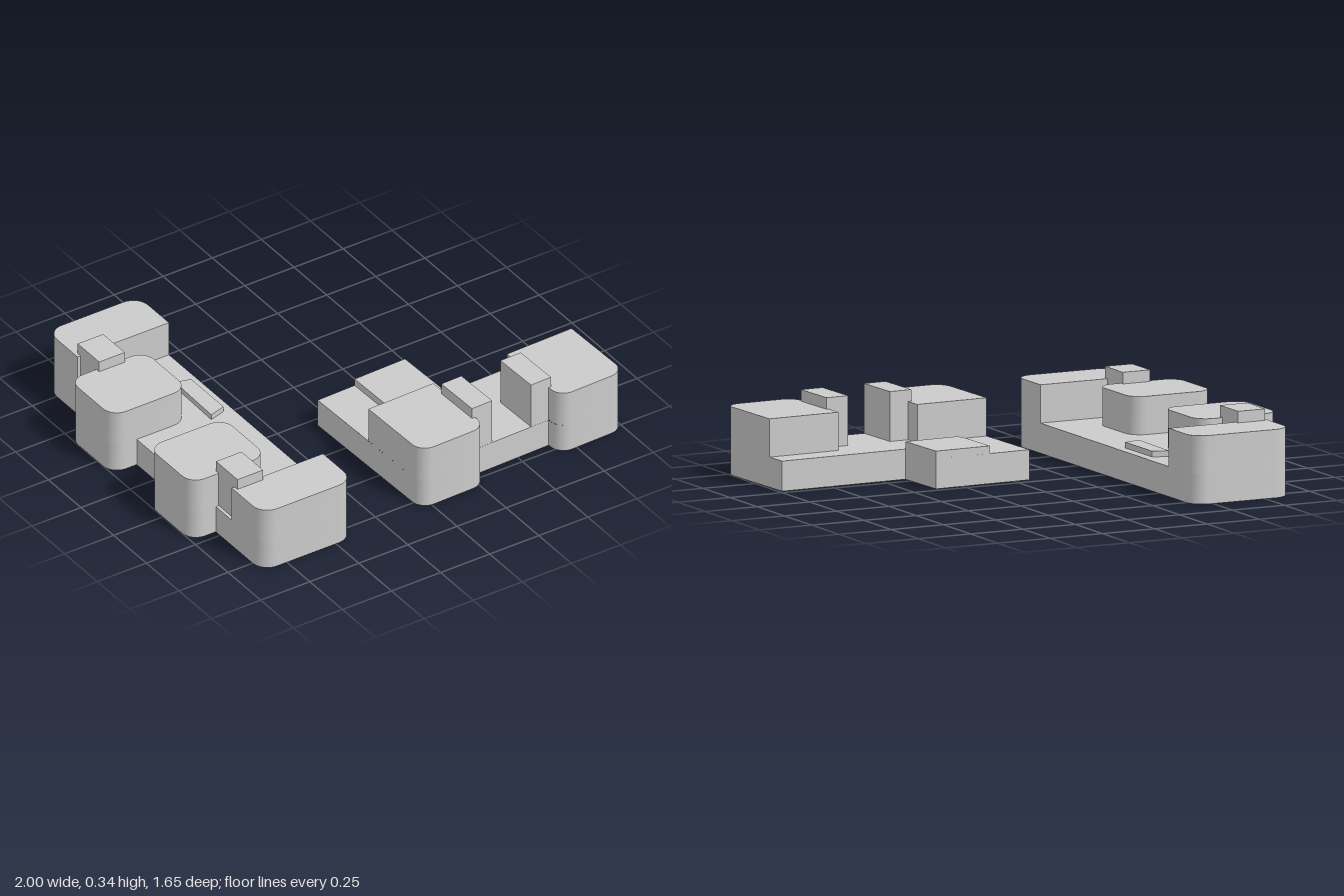
import * as THREE from 'three';
import { mergeGeometries, toCreasedNormals } from 'three/addons/utils/BufferGeometryUtils.js';

const LOW = 0.13, HIGH = 0.295, POST = 0.345;
const material = new THREE.MeshStandardMaterial({ color: 0xcccccc, side: THREE.DoubleSide });

// Turns corners [x, z, radius] into a plan outline with rounded corners
function outline(corners, closed = true) {
  const pts = [], n = corners.length;
  corners.forEach(([x, z, r = 0], i) => {
    const p = new THREE.Vector2(x, z);
    if (!r || (!closed && (i === 0 || i === n - 1))) { pts.push(p); return; }
    const toward = (c) => new THREE.Vector2(c[0], c[1]).sub(p).normalize();
    const a = toward(corners[(i + n - 1) % n]), b = toward(corners[(i + 1) % n]);
    const centre = p.clone().addScaledVector(a, r).addScaledVector(b, r);
    for (let k = 0; k <= 8; k++) {
      const t = (k / 8) * Math.PI / 2;
      pts.push(centre.clone().addScaledVector(b, -r * Math.cos(t)).addScaledVector(a, -r * Math.sin(t)));
    }
  });
  // counter-clockwise as seen from above, so walls face outward
  if (closed && THREE.ShapeUtils.area(pts) > 0) pts.reverse();
  return pts;
}

// Vertical wall strip along an outline
function wallGeometry(pts, y0, y1, closed = true) {
  const pos = [], count = closed ? pts.length : pts.length - 1;
  for (let i = 0; i < count; i++) {
    const a = pts[i], b = pts[(i + 1) % pts.length];
    pos.push(a.x, y0, a.y, b.x, y0, b.y, b.x, y1, b.y);
    pos.push(a.x, y0, a.y, b.x, y1, b.y, a.x, y1, a.y);
  }
  const g = new THREE.BufferGeometry();
  g.setAttribute('position', new THREE.Float32BufferAttribute(pos, 3));
  g.computeVertexNormals();
  return toCreasedNormals(g, 0.5);
}

// Flat roof filling an outline
function roofGeometry(pts, y) {
  const shape = new THREE.Shape(pts.map((p) => new THREE.Vector2(p.x, -p.y)));
  const g = new THREE.ShapeGeometry(shape).rotateX(-Math.PI / 2).translate(0, y, 0).toNonIndexed();
  g.deleteAttribute('uv');
  return g;
}

function add(group, name, geometry) {
  const mesh = new THREE.Mesh(geometry, material);
  mesh.name = name;
  group.add(mesh);
}
const addWall = (group, name, corners, y0, y1, closed = true) =>
  add(group, name, wallGeometry(outline(corners, closed), y0, y1, closed));
const addRoof = (group, name, corners, y) => add(group, name, roofGeometry(outline(corners), y));

// Open-bottomed block: walls plus roof
function addBlock(group, name, corners, y0, y1) {
  const pts = outline(corners);
  add(group, name, mergeGeometries([wallGeometry(pts, y0, y1), roofGeometry(pts, y1)]));
}
const rect = (x0, x1, z0, z1, r = 0) => [[x0, z0, r], [x0, z1, r], [x1, z1, r], [x1, z0, r]];

function createLongBuilding() {
  const g = new THREE.Group();
  g.name = 'longBuilding';
  const x0 = -0.875, x1 = -0.41, r = 0.075;
  addWall(g, 'baseWall', rect(x0, x1, -0.825, 0.825, r), 0, LOW);
  addRoof(g, 'lowRoof', rect(x0, x1, -0.59, 0.59), LOW);
  for (const s of [-1, 1]) {
    const side = s < 0 ? 'back' : 'front';
    // raised end with rounded outer corners
    addBlock(g, side + 'EndBlock',
      [[x0, s * 0.59], [x0, s * 0.825, r], [x1, s * 0.825, r], [x1, s * 0.59]], LOW, HIGH);
    // rounded tower standing partly outside the base
    const zs = [s * 0.137, s * 0.468].sort((a, b) => a - b);
    addBlock(g, side + 'Tower', rect(-1, -0.615, zs[0], zs[1], 0.07), LOW, HIGH);
    addWall(g, side + 'TowerFoot',
      [[x0, zs[0]], [-1, zs[0], 0.07], [-1, zs[1], 0.07], [x0, zs[1]]], 0, LOW, false);
    // shaft linking tower and end block
    addBlock(g, side + 'Shaft', rect(-0.86, -0.73, s * 0.447, s * 0.612), LOW, POST);
  }
  addBlock(g, 'skylight',
    [[-0.523, -0.375], [-0.453, -0.355], [-0.453, -0.107], [-0.53, -0.085]], LOW, 0.155);
  return g;
}

function createAngledBuilding() {
  const g = new THREE.Group();
  g.name = 'angledBuilding';
  const r = 0.065;
  addWall(g, 'baseWall', [
    [-0.073, 0.043], [0.38, 0.03], [0.388, 0.297], [0.985, 0.281], [0.998, 0.78, r],
    [0.663, 0.79, r], [0.66, 0.709], [0.279, 0.72], [0.28, 0.8, r], [-0.055, 0.808, r],
  ], 0, LOW);
  addRoof(g, 'lowRoof', [
    [-0.073, 0.043], [0.38, 0.03], [0.388, 0.297], [0.985, 0.281], [0.988, 0.391],
    [0.653, 0.4], [0.66, 0.709], [0.279, 0.72], [0.272, 0.41], [-0.064, 0.418],
  ], LOW);
  // raised wings
  addBlock(g, 'rightWing',
    [[-0.064, 0.418], [0.272, 0.41], [0.28, 0.8, r], [-0.055, 0.808, r]], LOW, HIGH);
  addBlock(g, 'leftWing',
    [[0.653, 0.4], [0.988, 0.391], [0.998, 0.78, r], [0.663, 0.79, r]], LOW, HIGH);
  // shafts beside the entrance court
  addBlock(g, 'rightShaft',
    [[0.257, 0.493], [0.361, 0.49], [0.367, 0.717], [0.263, 0.72]], LOW, POST);
  addBlock(g, 'leftShaft',
    [[0.563, 0.486], [0.667, 0.483], [0.673, 0.708], [0.569, 0.711]], LOW, POST);
  // slightly raised back roof
  addBlock(g, 'backRoof',
    [[0.118, 0.038], [0.38, 0.03], [0.388, 0.297], [0.124, 0.305, 0.035]], LOW, 0.163);
  return g;
}

export function createModel() {
  const model = new THREE.Group();
  model.name = 'buildingComplex';
  model.add(createLongBuilding(), createAngledBuilding());
  return model;
}
